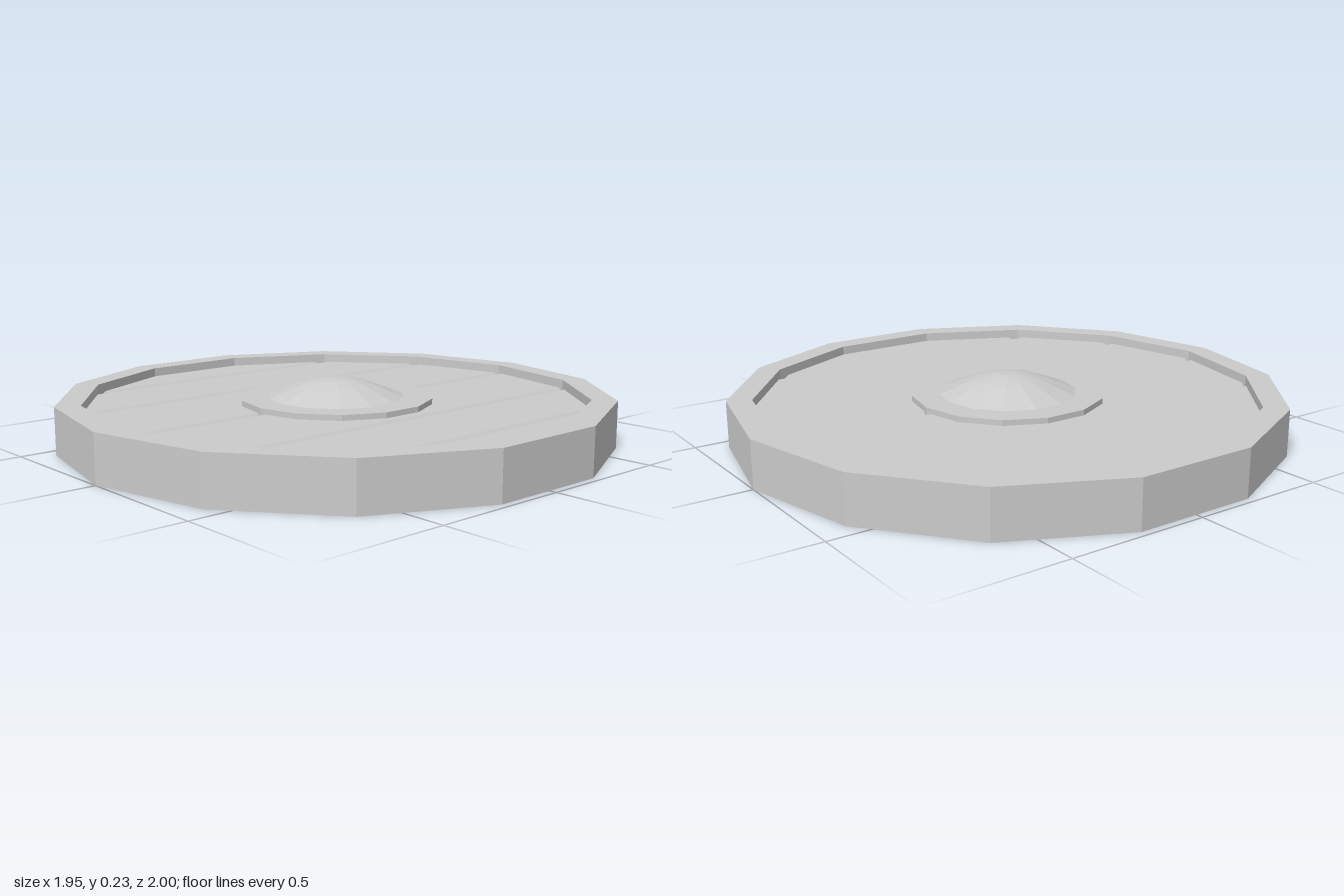
import * as THREE from 'three';
import { ConvexGeometry } from 'three/addons/geometries/ConvexGeometry.js';

const SIDES = 14;
const INNER = 0.91; // inner radius of the rim
const material = new THREE.MeshStandardMaterial({ color: 0xcccccc, flatShading: true });

function add(group, name, geometry) {
  const mesh = new THREE.Mesh(geometry, material);
  mesh.name = name;
  group.add(mesh);
}

// Faceted ring or dome from [radius, height] pairs
function turned(profile) {
  return new THREE.LatheGeometry(profile.map(([r, y]) => new THREE.Vector2(r, y)), SIDES);
}

export function createModel() {
  const group = new THREE.Group();
  group.name = 'roundShield';

  // Raised outer rim
  add(group, 'rim', turned([[INNER, 0], [1, 0], [1, 0.17], [INNER, 0.17], [INNER, 0]]));

  // Corners of the inner polygon; the planks meet at these x positions
  const corners = [0, 1, 2, 3].map((i) => {
    const a = (i * 2 * Math.PI) / SIDES;
    return [INNER * Math.sin(a), INNER * Math.cos(a)];
  });

  // Bevelled planks, trimmed to the polygon and mirrored left and right
  const bottom = 0.033, top = 0.137, bevel = 0.02;
  for (const side of [1, -1]) {
    for (let i = 0; i < 3; i++) {
      const [x0, z0] = corners[i];
      const [x1, z1] = corners[i + 1];
      const outer = i === 2 ? 0 : bevel;
      const section = [
        [x0, bottom + bevel], [x0 + bevel, bottom], [x1 - outer, bottom], [x1, bottom + outer],
        [x1, top - outer], [x1 - outer, top], [x0 + bevel, top], [x0, top - bevel],
      ];
      const points = [];
      for (const [x, y] of section) {
        const z = z0 + ((z1 - z0) * (x - x0)) / (x1 - x0);
        points.push(new THREE.Vector3(side * x, y, z), new THREE.Vector3(side * x, y, -z));
      }
      add(group, 'plank', new ConvexGeometry(points));
    }
  }

  // Central boss: flat flange and shallow dome
  add(group, 'bossFlange', turned([[0.35, 0.125], [0.35, 0.157], [0.25, 0.157]]));
  add(group, 'bossDome', turned([
    [0.25, 0.157], [0.215, 0.17], [0.165, 0.191], [0.12, 0.207], [0.075, 0.219], [0.035, 0.225], [0, 0.226],
  ]));

  return group;
}
